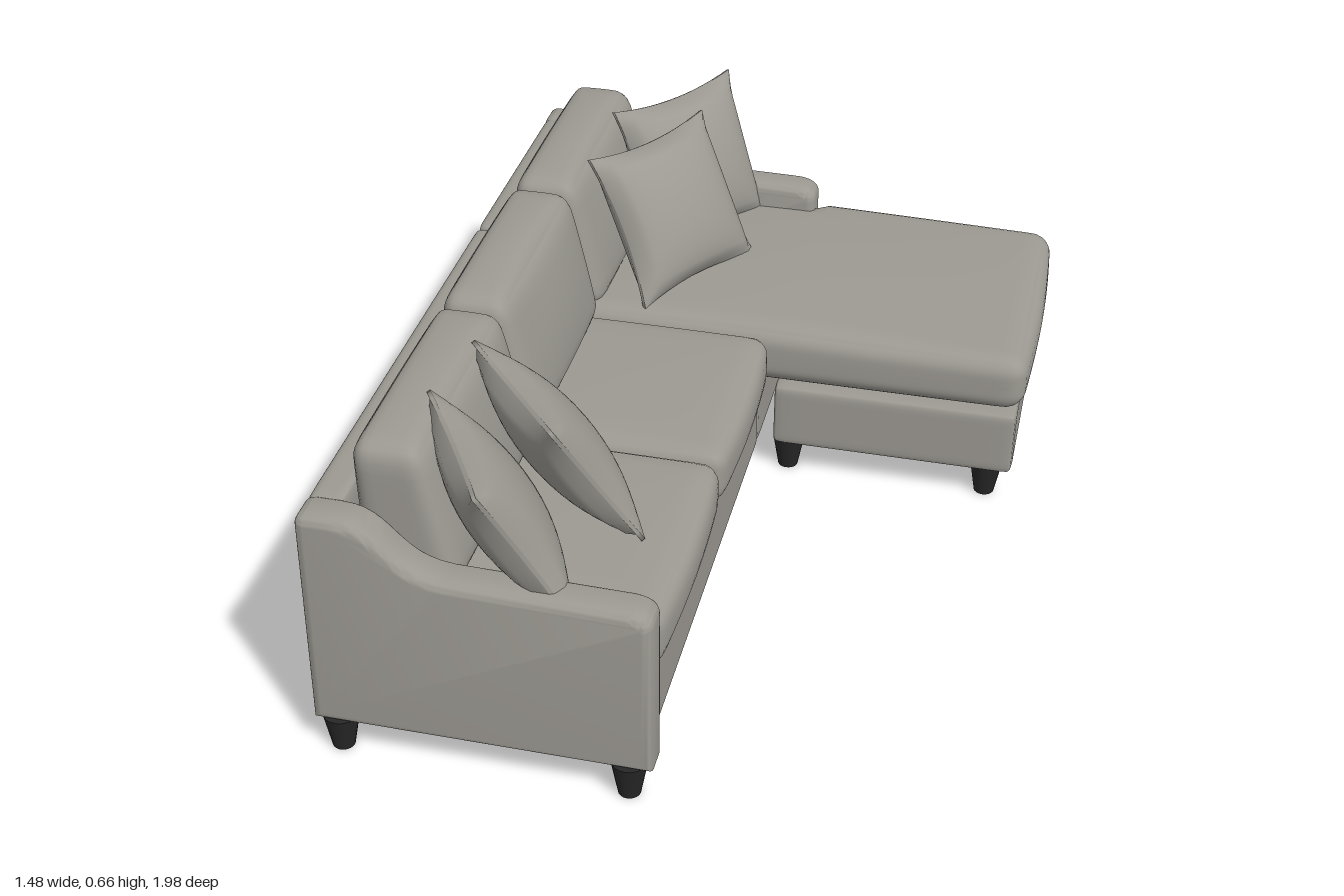
import * as THREE from 'three';
import { mergeVertices, toCreasedNormals } from 'three/addons/utils/BufferGeometryUtils.js';

const fabric = new THREE.MeshStandardMaterial({ color: 0x9c9992 });
fabric.name = 'greyFabric';
const darkWood = new THREE.MeshStandardMaterial({ color: 0x272727 });
darkWood.name = 'darkWood';

const V = new THREE.Vector3();

// Move every vertex of a geometry by a rule
function deform(geo, rule) {
  const p = geo.attributes.position;
  for (let i = 0; i < p.count; i++) {
    V.fromBufferAttribute(p, i);
    rule(V);
    p.setXYZ(i, V.x, V.y, V.z);
  }
  return geo;
}

// Finely divided cube with shared vertices, so it shades smoothly
function smoothCube(n) {
  const g = new THREE.BoxGeometry(2, 2, 2, n, n, n);
  g.deleteAttribute('uv');
  g.deleteAttribute('normal');
  return mergeVertices(g);
}

// Box with round edges, whose faces swell by the given amounts
function softBox(w, h, d, r, swell = [0, 0, 0], n = 14) {
  const half = new THREE.Vector3(w / 2, h / 2, d / 2);
  const inner = half.clone().subScalar(r);
  const core = new THREE.Vector3(), q = new THREE.Vector3();
  return deform(smoothCube(n), (v) => {
    v.set(Math.sin(v.x * Math.PI / 2), Math.sin(v.y * Math.PI / 2), Math.sin(v.z * Math.PI / 2));
    q.copy(v);
    v.multiply(half);
    core.copy(v).clamp(inner.clone().negate(), inner);
    v.sub(core).setLength(r).add(core);
    const fx = 1 - q.x * q.x, fy = 1 - q.y * q.y, fz = 1 - q.z * q.z;
    v.x += q.x * swell[0] * fy * fz;
    v.y += q.y * swell[1] * fx * fz;
    v.z += q.z * swell[2] * fx * fy;
  });
}

// Square scatter cushion: thin rim, pointed corners, full middle
function pillowGeometry(size, thickness) {
  const g = deform(smoothCube(18), (v) => {
    const { x, y, z } = v;
    const full = Math.pow(Math.max(0, (1 - x * x) * (1 - y * y)), 0.5);
    v.x = x * (size / 2) * (1 - 0.11 * x * x * (1 - y * y));
    v.y = y * (size / 2) * (1 - 0.11 * y * y * (1 - x * x));
    v.z = z * (0.004 + full * thickness / 2);
  });
  g.computeVertexNormals();
  return g;
}

export function createModel() {
  const model = new THREE.Group();
  model.name = 'cornerSofa';

  // The sofa is built facing +z, then turned to its angle
  const sofa = new THREE.Group();
  sofa.name = 'sofa';
  sofa.rotation.y = Math.atan2(0.793, -0.61);
  model.add(sofa);

  const add = (name, geo, material, parent = sofa) => {
    const m = new THREE.Mesh(geo, material);
    m.name = name;
    parent.add(m);
    return m;
  };

  // Soft box given by its ranges, with an optional shaping rule
  const block = (name, [x0, x1], [y0, y1], [z0, z1], r, swell, rule, n) => {
    const g = softBox(x1 - x0, y1 - y0, z1 - z0, r, swell, n);
    g.translate((x0 + x1) / 2, (y0 + y1) / 2, (z0 + z1) / 2);
    if (rule) deform(g, rule);
    g.computeVertexNormals();
    return add(name, g, fabric);
  };

  // Two joined sections: base and back panel
  for (const [side, x] of [['right', [-0.875, 0.113]], ['left', [0.113, 0.645]]]) {
    block(side + 'Base', x, [0.072, 0.232], [-0.395, 0.205], 0.012);
    block(side + 'Back', x, [0.072, 0.525], [-0.405, -0.335], 0.018);
  }

  // Arms sweep down from the back to a low front
  const profile = new THREE.Shape();
  profile.moveTo(-0.406, 0.072);
  profile.lineTo(0.225, 0.072);
  profile.lineTo(0.225, 0.385);
  profile.quadraticCurveTo(0.225, 0.415, 0.18, 0.419);
  profile.lineTo(-0.14, 0.424);
  profile.bezierCurveTo(-0.25, 0.43, -0.24, 0.525, -0.34, 0.525);
  profile.lineTo(-0.385, 0.525);
  profile.quadraticCurveTo(-0.406, 0.525, -0.406, 0.505);
  profile.closePath();
  const bevel = 0.018, armWidth = 0.08;
  let armGeo = new THREE.ExtrudeGeometry(profile, {
    depth: armWidth - 2 * bevel, bevelThickness: bevel, bevelSize: bevel,
    bevelOffset: -bevel, bevelSegments: 5, curveSegments: 12,
  });
  armGeo.translate(0, 0, -(armWidth - 2 * bevel) / 2).rotateY(-Math.PI / 2);
  armGeo = toCreasedNormals(armGeo, 0.7);
  add('rightArm', armGeo, fabric).position.x = -0.897;
  add('leftArm', armGeo, fabric).position.x = 0.662;

  // Seat cushions
  block('rightSeatCushion', [-0.858, -0.358], [0.236, 0.355], [-0.25, 0.222], 0.035, [0, 0.008, 0.012]);
  block('middleSeatCushion', [-0.358, 0.107], [0.236, 0.355], [-0.25, 0.225], 0.035, [0, 0.008, 0.012]);

  // Chaise: separate footed base, and a long cushion notched around the left arm
  block('chaiseBase', [0.118, 0.69], [0.072, 0.218], [0.235, 0.745], 0.015);
  block('chaiseCushion', [0.108, 0.697], [0.23, 0.362], [-0.25, 0.755], 0.04, [0.004, 0.014, 0.012], (v) => {
    if (v.z < 0.235) v.x = Math.min(v.x, 0.622);
    if (v.y > 0.3) v.y -= 0.02 * Math.max(0, v.z - 0.2);
  }, 26);

  // Back cushions, thinner at the top and leaning back
  const lean = (v) => {
    const t = (v.y - 0.345) / 0.29;
    v.z = -0.225 + (v.z + 0.225) * (1 - 0.28 * t) - 0.04 * t;
  };
  [[-0.856, -0.362], [-0.358, 0.122], [0.126, 0.622]].forEach((x, i) => {
    block('backCushion' + (i + 1), x, [0.345, 0.632], [-0.315, -0.135], 0.04, [0, 0.012, 0.018], lean);
  });

  // Tapered legs
  const legGeo = toCreasedNormals(new THREE.CylinderGeometry(0.034, 0.021, 0.074, 20), 0.6);
  const legs = [
    [-0.907, -0.362], [-0.907, 0.178], [0.16, -0.362], [0.665, -0.362], [0.665, 0.178],
    [0.16, 0.265], [0.16, 0.69], [0.65, 0.265], [0.65, 0.69],
  ];
  legs.forEach(([x, z], i) => add('leg' + (i + 1), legGeo, darkWood).position.set(x, 0.037, z));

  // Scatter cushions: position, heading and backward tilt
  const pillowGeo = pillowGeometry(0.335, 0.125);
  const pillows = [
    [-0.37, 0.495, -0.41, 1.6, 0.42],
    [-0.22, 0.505, -0.235, 1.67, 0.52],
    [0.325, 0.505, 0.48, 2.94, 0.55],
    [0.425, 0.51, 0.68, 2.77, 0.5],
  ];
  pillows.forEach(([x, y, z, heading, tilt], i) => {
    const m = add('scatterCushion' + (i + 1), pillowGeo, fabric, model);
    m.position.set(x, y, z);
    m.rotation.set(-tilt, heading, 0, 'YXZ');
  });

  return model;
}
